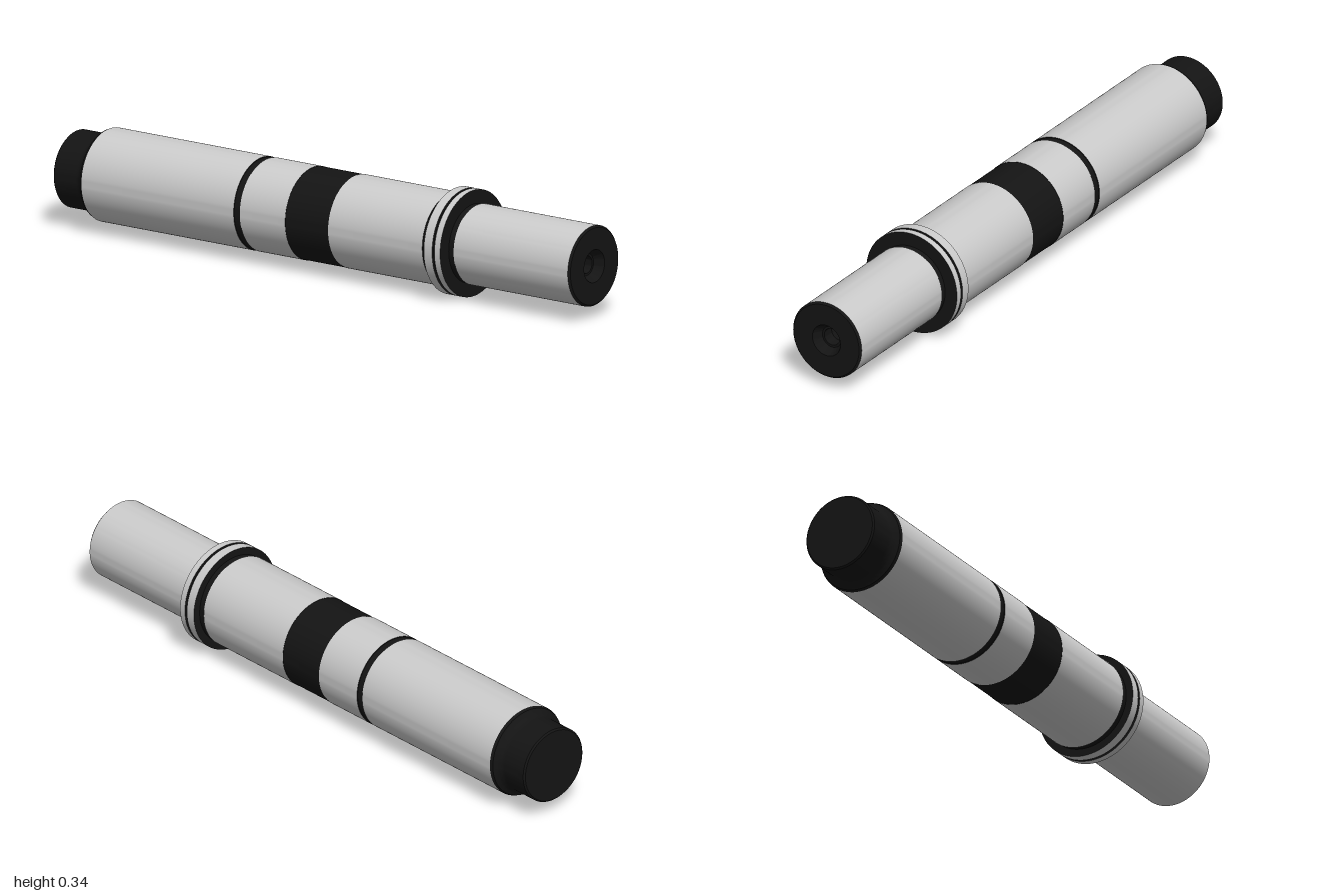
import * as THREE from 'three';
import { toCreasedNormals } from 'three/addons/utils/BufferGeometryUtils.js';

const AXIS_Y = 0.168;

export function createModel() {
  const model = new THREE.Group();
  const grey = new THREE.MeshStandardMaterial({ color: 0xcccccc });
  const black = new THREE.MeshStandardMaterial({ color: 0x141414 });

  // Turned section: profile of [x along the shaft, radius], running towards +x
  function turned(name, material, profile) {
    const points = profile.map(([x, r]) => new THREE.Vector2(r, x));
    const geometry = toCreasedNormals(new THREE.LatheGeometry(points, 96), 0.5);
    geometry.rotateZ(-Math.PI / 2);
    const mesh = new THREE.Mesh(geometry, material);
    mesh.name = name;
    mesh.position.y = AXIS_Y;
    model.add(mesh);
  }

  // Narrow tail with a concave fillet up to the body
  const tail = [[-1, 0], [-1, 0.117], [-0.995, 0.122], [-0.91, 0.122]];
  for (let i = 1; i <= 6; i++) {
    const a = (i / 6) * 1.2;
    tail.push([-0.91 + 0.033 * Math.sin(a), 0.122 + 0.033 * (1 - Math.cos(a))]);
  }
  tail.push([-0.87, 0.147]);
  turned('tail', black, tail);

  // Body sleeves and the dark bands between them
  turned('rearBody', grey, [[-0.87, 0.147], [-0.282, 0.147]]);
  turned('rearGroove', black, [[-0.282, 0.147], [-0.282, 0.144], [-0.258, 0.144], [-0.258, 0.147]]);
  turned('middleBody', grey, [[-0.258, 0.147], [-0.083, 0.147]]);
  turned('centreBand', black, [[-0.083, 0.147], [-0.083, 0.146], [0.083, 0.146], [0.083, 0.147]]);
  turned('frontBody', grey, [[0.083, 0.147], [0.447, 0.147]]);

  // Flange: dark walls, two bright rims and a fine groove
  turned('flangeRearWall', black, [[0.447, 0.147], [0.447, 0.144], [0.469, 0.144], [0.469, 0.168]]);
  turned('flangeRearRim', grey, [[0.469, 0.168], [0.501, 0.168]]);
  turned('flangeGroove', black, [[0.501, 0.168], [0.501, 0.16], [0.51, 0.16], [0.51, 0.168]]);
  turned('flangeFrontRim', grey, [[0.51, 0.168], [0.532, 0.168]]);
  turned('flangeFrontWall', black, [[0.532, 0.168], [0.532, 0.124], [0.553, 0.124], [0.553, 0.127]]);

  // Front journal and its chamfered end with a centre-drilled hole
  turned('journal', grey, [[0.553, 0.127], [0.994, 0.127]]);
  turned('endFace', black, [
    [0.994, 0.127], [1, 0.121], [1, 0.052], [0.994, 0.05], [0.97, 0.035],
    [0.97, 0.028], [0.93, 0.028], [0.915, 0],
  ]);

  return model;
}
